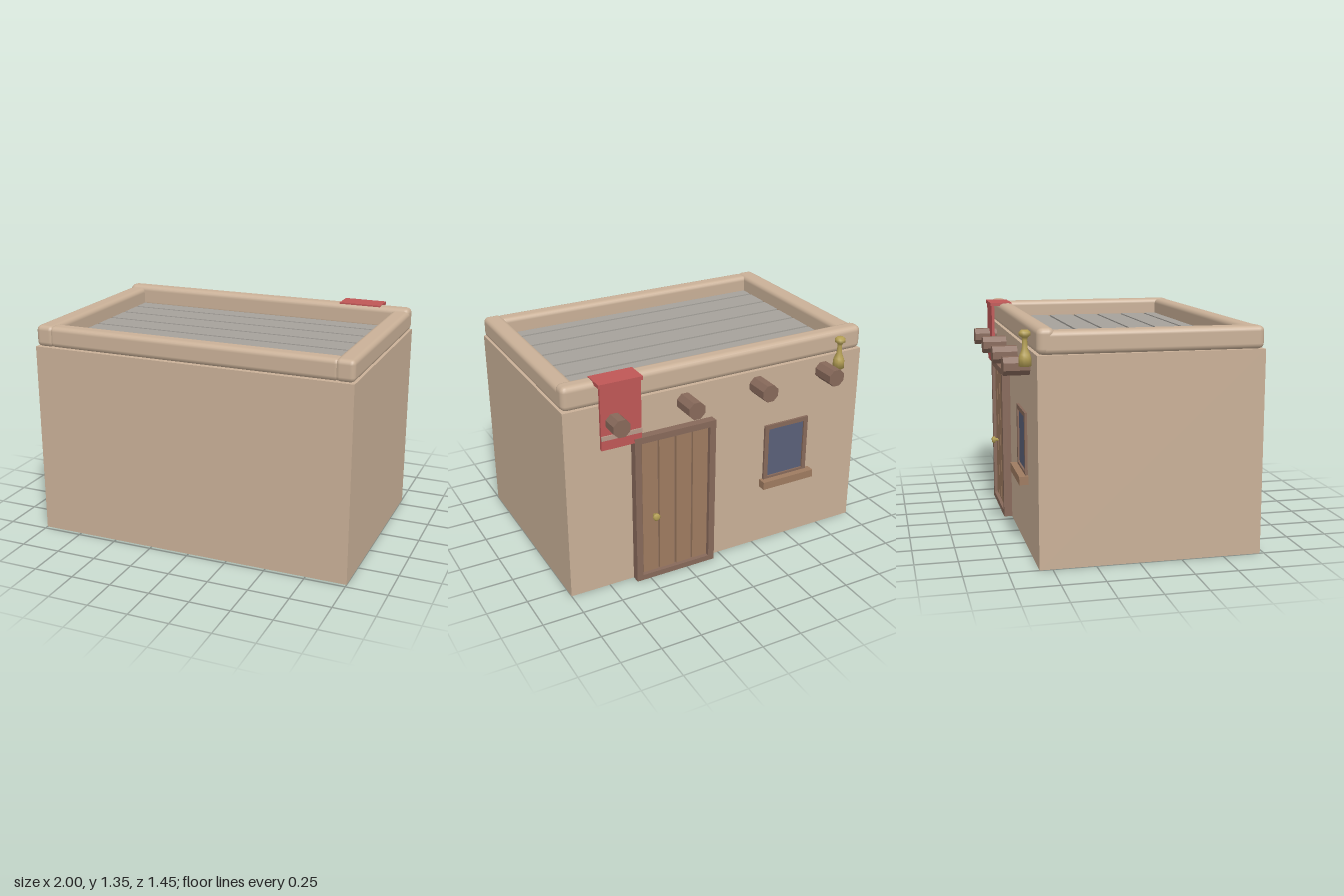
import * as THREE from 'three';
import { RoundedBoxGeometry } from 'three/addons/geometries/RoundedBoxGeometry.js';

const mat = (name, color) => {
  const m = new THREE.MeshStandardMaterial({ color });
  m.name = name;
  return m;
};

export function createModel() {
  const root = new THREE.Group();
  root.name = 'adobeHouse';
  const clay = mat('clay', 0xc9b097);
  const slate = mat('roofGrey', 0xa5a19b);
  const darkWood = mat('darkWood', 0x87695a);
  const lightWood = mat('lightWood', 0x9e7b60);
  const glass = mat('glass', 0x5a6078);
  const red = mat('redCloth', 0xbf5756);
  const trim = mat('paleTrim', 0xb89a8a);
  const brass = mat('brass', 0xb5a055);

  const add = (name, geo, material, parent = root) => {
    const mesh = new THREE.Mesh(geo, material);
    mesh.name = name;
    parent.add(mesh);
    return mesh;
  };
  // box given by its extents
  const box = (name, material, x0, x1, y0, y1, z0, z1, parent = root, radius = 0) => {
    const w = x1 - x0, h = y1 - y0, d = z1 - z0;
    const geo = radius ? new RoundedBoxGeometry(w, h, d, 2, radius) : new THREE.BoxGeometry(w, h, d);
    const mesh = add(name, geo, material, parent);
    mesh.position.set((x0 + x1) / 2, (y0 + y1) / 2, (z0 + z1) / 2);
    return mesh;
  };
  const group = (name) => {
    const g = new THREE.Group();
    g.name = name;
    root.add(g);
    return g;
  };

  const back = -0.575, front = 0.725;
  box('walls', clay, -1, 1, 0, 1.2, back, front);

  // rounded parapet around the roof
  const parapet = group('parapet');
  for (const s of [-1, 1]) {
    box('sideParapet', clay, s * 0.94 - 0.058, s * 0.94 + 0.058, 1.2, 1.33, -0.55, 0.72, parapet, 0.03);
  }
  box('frontParapet', clay, -0.91, 0.91, 1.2, 1.328, 0.615, 0.717, parapet, 0.03);
  box('backParapet', clay, -0.998, 0.998, 1.2, 1.348, back, -0.473, parapet, 0.035);

  // sunken roof of boards with narrow grooves
  const roof = group('roof');
  box('roofBase', slate, -0.9, 0.9, 1.195, 1.21, -0.5, 0.65, roof);
  const seams = [-0.5, -0.35, -0.174, 0.002, 0.178, 0.353, 0.528, 0.65];
  for (let i = 0; i < seams.length - 1; i++) {
    box('roofBoard', slate, -0.9, 0.9, 1.205, 1.228, seams[i] + 0.009, seams[i + 1] - 0.009, roof);
  }

  // beam ends poking out of the wall
  const beams = group('beamEnds');
  for (const x of [-0.72, -0.247, 0.243, 0.713]) {
    const geo = new THREE.CylinderGeometry(0.056, 0.056, 0.2, 8).toNonIndexed();
    geo.rotateY(Math.PI / 8).rotateX(Math.PI / 2);
    geo.computeVertexNormals();
    add('beamEnd', geo, darkWood, beams).position.set(x, 1.11, -0.625);
  }

  // plank door in a frame
  const door = group('door');
  for (const [x0, x1] of [[0.06, 0.1], [0.55, 0.59]]) {
    box('doorJamb', darkWood, x0, x1, 0, 0.97, -0.627, back, door);
  }
  box('doorLintel', darkWood, 0.1, 0.55, 0.93, 0.97, -0.627, back, door);
  box('doorThreshold', darkWood, 0.1, 0.55, 0, 0.035, -0.627, back, door);
  box('doorBacking', darkWood, 0.1, 0.55, 0.035, 0.93, -0.592, back, door);
  for (let i = 0; i < 4; i++) {
    const x = 0.104 + i * 0.1115;
    box('doorPlank', lightWood, x, x + 0.1, 0.04, 0.925, -0.608, -0.59, door);
  }
  const knobProfile = [[0, 0], [0.011, 0], [0.011, 0.022], [0.023, 0.027], [0.023, 0.04], [0.014, 0.047], [0, 0.047]];
  const knob = add('doorKnob', new THREE.LatheGeometry(knobProfile.map(([r, y]) => new THREE.Vector2(r, y)), 10), brass, door);
  knob.rotation.x = -Math.PI / 2;
  knob.position.set(0.463, 0.427, -0.603);

  // window with frame and sill
  const win = group('window');
  for (const x of [-0.625, -0.34]) {
    box('windowJamb', darkWood, x, x + 0.028, 0.45, 0.82, -0.59, back, win);
  }
  box('windowHead', darkWood, -0.597, -0.34, 0.792, 0.82, -0.59, back, win);
  box('windowFoot', darkWood, -0.597, -0.34, 0.45, 0.465, -0.59, back, win);
  box('windowPane', glass, -0.597, -0.34, 0.465, 0.792, -0.579, back, win);
  box('windowSill', lightWood, -0.655, -0.29, 0.4, 0.45, -0.63, back, win);

  // red banner folded over the parapet
  const banner = group('banner');
  box('bannerFold', red, 0.535, 0.805, 1.33, 1.352, -0.632, -0.49, banner);
  box('bannerDrop', red, 0.545, 0.795, 0.945, 1.335, -0.624, -0.606, banner);
  box('bannerStripe', trim, 0.545, 0.795, 1.008, 1.035, -0.632, -0.624, banner);

  // small brass bell beside the last beam
  const bellProfile = [[0, 1.12], [0.036, 1.12], [0.036, 1.165], [0.03, 1.185], [0.017, 1.215],
    [0.014, 1.265], [0.018, 1.28], [0.033, 1.29], [0.033, 1.308], [0.02, 1.32], [0, 1.32]];
  const bell = add('bell', new THREE.LatheGeometry(bellProfile.map(([r, y]) => new THREE.Vector2(r, y)), 10), brass);
  bell.position.set(-0.812, 0, -0.611);

  return root;
}
